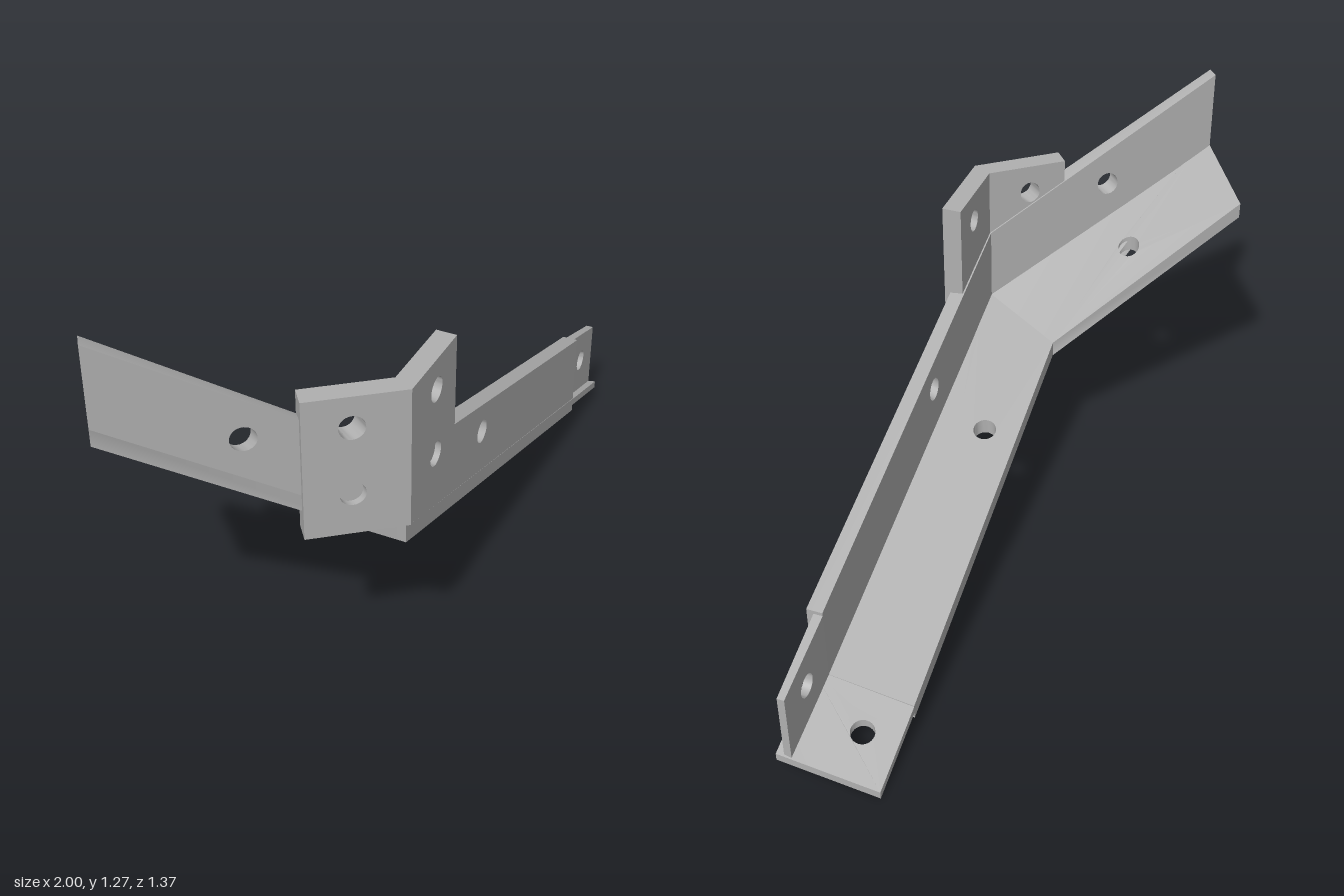
import * as THREE from 'three';
import { toCreasedNormals } from 'three/addons/utils/BufferGeometryUtils.js';

const HOLE_RADIUS = 0.036;

// Slab between two quads (each: start-low, end-low, end-high, start-high),
// with round holes given as [u, v] positions across the slab.
function slab(name, near, far, holes, material) {
  const toVectors = (quad) => quad.map((p) => new THREE.Vector3(...p));
  const a = toVectors(near), b = toVectors(far);
  const onQuad = (q, u, v) => {
    const low = q[0].clone().lerp(q[1], u);
    return low.lerp(q[3].clone().lerp(q[2], u), v);
  };

  const shape = new THREE.Shape([[0, 0], [1, 0], [1, 1], [0, 1]].map((p) => new THREE.Vector2(...p)));
  for (const [u, v] of holes) {
    // Local axes of the slab, so that each hole stays circular
    const U = onQuad(b, 1, v).sub(onQuad(b, 0, v));
    const V = onQuad(b, u, 1).sub(onQuad(b, u, 0));
    const along = V.dot(U) / U.length();
    const across = Math.sqrt(V.lengthSq() - along * along);
    const points = [];
    for (let i = 0; i < 28; i++) {
      const t = (i / 28) * Math.PI * 2;
      const dv = (HOLE_RADIUS * Math.sin(t)) / across;
      const du = (HOLE_RADIUS * Math.cos(t) - dv * along) / U.length();
      points.push(new THREE.Vector2(u + du, v + dv));
    }
    shape.holes.push(new THREE.Path(points));
  }

  const geometry = new THREE.ExtrudeGeometry(shape, { depth: 1, bevelEnabled: false });
  const pos = geometry.attributes.position;
  for (let i = 0; i < pos.count; i++) {
    const u = pos.getX(i), v = pos.getY(i), w = pos.getZ(i);
    const p = onQuad(a, u, v).lerp(onQuad(b, u, v), w);
    pos.setXYZ(i, p.x, p.y, p.z);
  }
  const mesh = new THREE.Mesh(toCreasedNormals(geometry, 0.6), material);
  mesh.name = name;
  return mesh;
}

// Upright wall between two stations: each has plan points and low/high heights
function wall(name, s, e, holes, material, dip = 0) {
  const quad = (side, drop) => [
    [s[side][0], s.low - drop, s[side][1]], [e[side][0], e.low - drop, e[side][1]],
    [e[side][0], e.high, e[side][1]], [s[side][0], s.high, s[side][1]],
  ];
  return slab(name, quad('inner', dip), quad('outer', 0), holes, material);
}

// Flange between two stations: front and back bottom points plus thickness
function flange(name, s, e, holes, material) {
  const quad = (lift) => [[s.front, s], [e.front, e], [e.back, e], [s.back, s]]
    .map(([p, st]) => [p[0], p[1] + lift * st.thick, p[2]]);
  return slab(name, quad(0), quad(1), holes, material);
}

export function createModel() {
  const steel = new THREE.MeshStandardMaterial({ color: 0xb0b0b0 });
  steel.name = 'grey steel';
  const model = new THREE.Group();
  model.name = 'bentAngleBracket';

  // Upright web stations
  const webLeft = { outer: [-1, 0.53], inner: [-0.992, 0.488], low: 1.03, high: 1.27 };
  const webCorner = { outer: [-0.225, 0.665], inner: [-0.24, 0.615], low: 0.595, high: 0.825 };
  const webStep = { outer: [0.81, -0.285], inner: [0.777, -0.322], low: 0.155, high: 0.393 };
  model.add(
    wall('rightArmWeb', webLeft, webCorner, [[0.471, 0.51]], steel, 0.016),
    wall('leftArmWeb', webCorner, webStep, [[0.38, 0.6]], steel, 0.016),
  );

  // Sloping flange stations
  const flangeLeft = { front: [-1, 0.98, 0.53], back: [-0.945, 0.89, 0.23], thick: 0.05 };
  const flangeCorner = { front: [-0.225, 0.545, 0.665], back: [-0.32, 0.485, 0.335], thick: 0.05 };
  const flangeStep = { front: [0.81, 0.105, -0.285], back: [0.6, 0.065, -0.518], thick: 0.048 };
  model.add(
    flange('rightArmFlange', flangeLeft, flangeCorner, [[0.48, 0.615]], steel),
    flange('leftArmFlange', flangeCorner, flangeStep, [[0.32, 0.655]], steel),
  );

  // Thinner tongue at the far end
  model.add(
    wall('tongueWeb',
      { outer: [0.795, -0.3], inner: [0.777, -0.322], low: 0.152, high: 0.382 },
      { outer: [0.98, -0.473], inner: [0.965, -0.49], low: 0.072, high: 0.3 },
      [[0.5, 0.53]], steel, 0.008),
    flange('tongueFlange',
      { front: [0.81, 0.127, -0.285], back: [0.6, 0.085, -0.518], thick: 0.025 },
      { front: [1, 0.047, -0.46], back: [0.785, 0, -0.685], thick: 0.025 },
      [[0.46, 0.65]], steel),
  );

  // Folded mounting plate at the corner
  const plate = (outer, inner) => ({ outer, inner, low: 0.617, high: 1.045 });
  const plateLeft = plate([-0.5, 0.637], [-0.49, 0.576]);
  const plateCorner = plate([-0.22, 0.685], [-0.238, 0.619]);
  const plateRight = plate([-0.01, 0.493], [-0.05, 0.447]);
  model.add(
    wall('mountingPlateRight', plateLeft, plateCorner, [[0.46, 0.3], [0.46, 0.78]], steel),
    wall('mountingPlateLeft', plateCorner, plateRight, [[0.55, 0.3], [0.55, 0.78]], steel),
  );
  return model;
}
